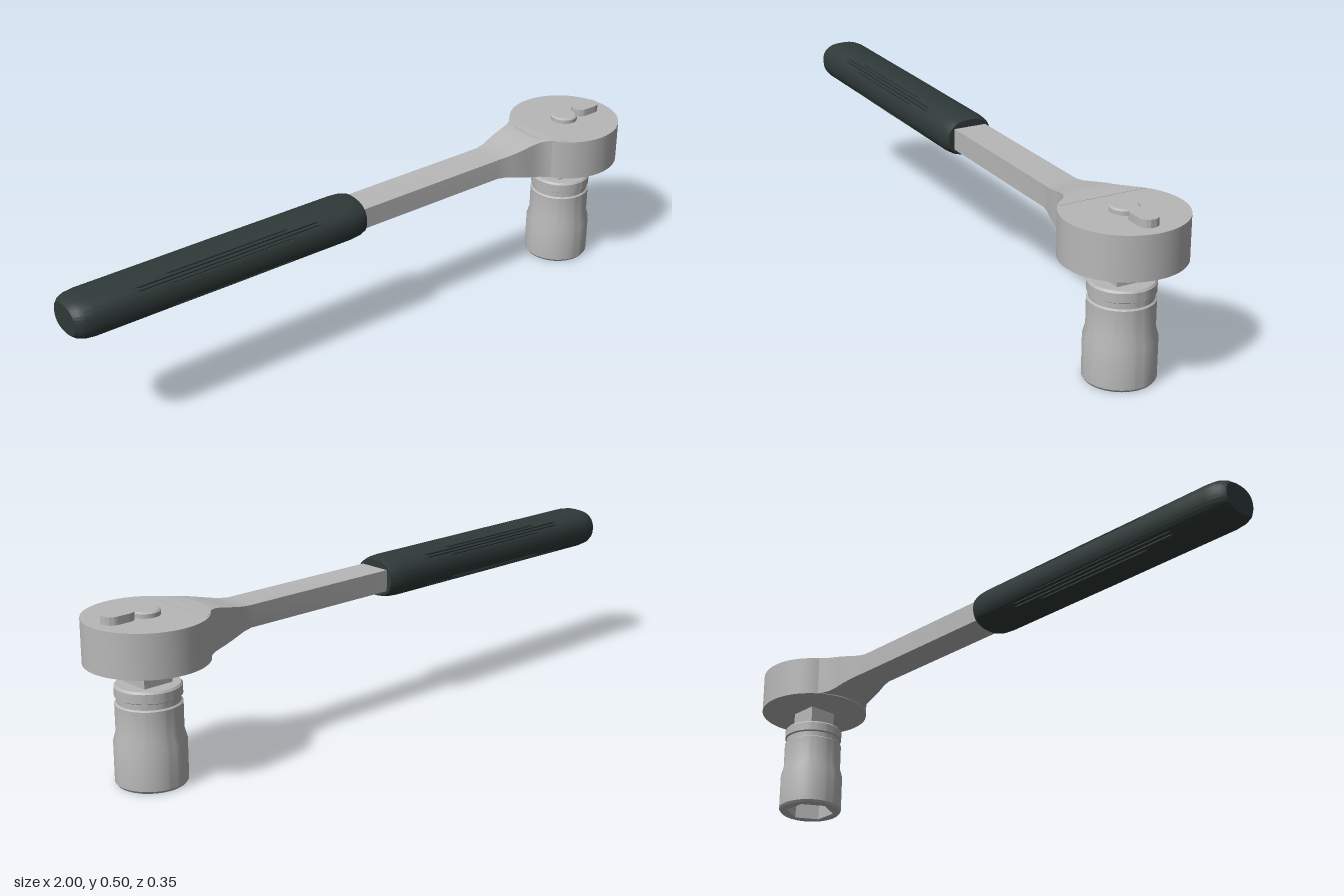
import * as THREE from 'three';
import { toCreasedNormals } from 'three/addons/utils/BufferGeometryUtils.js';

const HEAD_X = 0.825;
const AXIS_Y = 0.417;

// Skin a list of closed rings that run along +x, with both ends capped
function loft(rings, crease) {
  const n = rings[0].length, pos = [], idx = [];
  rings.forEach(r => r.forEach(p => pos.push(...p)));
  for (let i = 0; i < rings.length - 1; i++) {
    for (let j = 0; j < n; j++) {
      const k = (j + 1) % n;
      const a = i * n + j, b = a + n, c = i * n + k, d = c + n;
      idx.push(a, b, c, b, d, c);
    }
  }
  const last = rings.length - 1, s = pos.length / 3;
  pos.push(rings[0][0][0], AXIS_Y, 0, rings[last][0][0], AXIS_Y, 0);
  for (let j = 0; j < n; j++) {
    const k = (j + 1) % n;
    idx.push(s, j, k, s + 1, last * n + k, last * n + j);
  }
  const g = new THREE.BufferGeometry();
  g.setAttribute('position', new THREE.Float32BufferAttribute(pos, 3));
  g.setIndex(idx);
  return toCreasedNormals(g, crease);
}

// Grip section: soft oval with shallow lengthwise grooves at the four corners
function gripRing(x, hy, hz) {
  const ring = [], n = 144, power = 2 / 2.4;
  const soft = v => Math.sign(v) * Math.abs(v) ** power;
  for (let j = 0; j < n; j++) {
    const t = j / n * Math.PI * 2, q = j % 36;
    const fromDiagonal = Math.abs(j % 72 < 36 ? q - 18 : q - 18);
    const groove = fromDiagonal === 2 || fromDiagonal === 6;
    const reach = fromDiagonal === 2 ? 0.3 : 0.2;
    const f = groove && Math.abs(x + 0.5) < reach ? 0.94 : 1;
    ring.push([x, AXIS_Y + soft(Math.sin(t)) * hy * f, soft(Math.cos(t)) * hz * f]);
  }
  return ring;
}

export function createModel() {
  const group = new THREE.Group();
  const steel = new THREE.MeshStandardMaterial({ color: 0xb8b8b8 });
  steel.name = 'steel';
  const rubber = new THREE.MeshStandardMaterial({ color: 0x2f3a38 });
  rubber.name = 'dark rubber';

  function add(name, geometry, material, x = 0, y = 0, z = 0) {
    const mesh = new THREE.Mesh(geometry, material);
    mesh.name = name;
    mesh.position.set(x, y, z);
    group.add(mesh);
    return mesh;
  }

  // Grip: x, half height, half width
  const grip = [
    [-1, 0.044, 0.058], [-0.988, 0.053, 0.07], [-0.97, 0.059, 0.077], [-0.94, 0.062, 0.08],
    [-0.81, 0.062, 0.08], [-0.79, 0.062, 0.08], [-0.71, 0.062, 0.08], [-0.69, 0.062, 0.08],
    [-0.5, 0.062, 0.081], [-0.31, 0.062, 0.08], [-0.29, 0.062, 0.08], [-0.21, 0.062, 0.08],
    [-0.19, 0.062, 0.08], [-0.08, 0.062, 0.08], [-0.05, 0.06, 0.077], [-0.03, 0.055, 0.07],
  ];
  add('grip', loft(grip.map(s => gripRing(...s)), 0.5), rubber);

  // Shaft with its flare into the head: x, half height, half width
  const shaft = [
    [-0.1, 0.033, 0.052], [0.5, 0.033, 0.052], [0.53, 0.036, 0.057], [0.56, 0.042, 0.065],
    [0.59, 0.049, 0.071], [0.62, 0.056, 0.075], [0.65, 0.061, 0.081], [0.675, 0.064, 0.094],
    [0.7, 0.064, 0.118], [0.72, 0.064, 0.134],
  ];
  const shaftRings = shaft.map(([x, hy, hz]) =>
    [[1, -1], [1, 1], [-1, 1], [-1, -1]].map(([z, y]) => [x, AXIS_Y + y * hy, z * hz]));
  add('shaft', loft(shaftRings, 0.6), steel);

  // Ratchet head
  add('head', new THREE.CylinderGeometry(0.175, 0.175, 0.128, 64), steel, HEAD_X, 0.416);

  // Release button with a chamfered rim
  add('releaseButton', new THREE.CylinderGeometry(0.042, 0.042, 0.012, 32), steel, HEAD_X, 0.486);
  add('releaseButtonRim', new THREE.CylinderGeometry(0.036, 0.042, 0.004, 32), steel, HEAD_X, 0.494);

  // Direction lever: pill-shaped plate
  const pill = new THREE.Shape();
  pill.absarc(0.019, 0, 0.029, -Math.PI / 2, Math.PI / 2);
  pill.absarc(-0.019, 0, 0.029, Math.PI / 2, Math.PI * 1.5);
  const lever = add('directionLever', toCreasedNormals(
    new THREE.ExtrudeGeometry(pill, { depth: 0.023, bevelEnabled: false }), 0.6), steel, 0.915, 0.48);
  lever.rotation.x = -Math.PI / 2;

  // Square drive
  add('squareDrive', new THREE.BoxGeometry(0.094, 0.11, 0.094), steel, HEAD_X, 0.315);

  // Socket outer wall
  const profile = [
    [0.097, 0], [0.102, 0.007], [0.102, 0.123], [0.094, 0.152], [0.094, 0.233], [0.089, 0.237],
    [0.089, 0.253], [0.094, 0.256], [0.094, 0.283], [0.089, 0.289], [0, 0.289],
  ].map(p => new THREE.Vector2(...p));
  add('socketBody', toCreasedNormals(new THREE.LatheGeometry(profile, 64), 0.4), steel, HEAD_X);

  // Hexagonal opening in the socket's underside
  const ring = new THREE.Shape();
  ring.absarc(0, 0, 0.097, 0, Math.PI * 2);
  const hex = new THREE.Path();
  for (let i = 0; i <= 6; i++) {
    const a = -i * Math.PI / 3, x = Math.cos(a) * 0.077, y = Math.sin(a) * 0.077;
    if (i) hex.lineTo(x, y); else hex.moveTo(x, y);
  }
  ring.holes.push(hex);
  const opening = add('socketOpening', toCreasedNormals(new THREE.ExtrudeGeometry(ring,
    { depth: 0.12, bevelEnabled: false, curveSegments: 32 }), 0.4), steel, HEAD_X);
  opening.rotation.x = -Math.PI / 2;
  add('socketOpeningFloor', new THREE.CylinderGeometry(0.088, 0.088, 0.01, 32), steel, HEAD_X, 0.125);

  return group;
}
